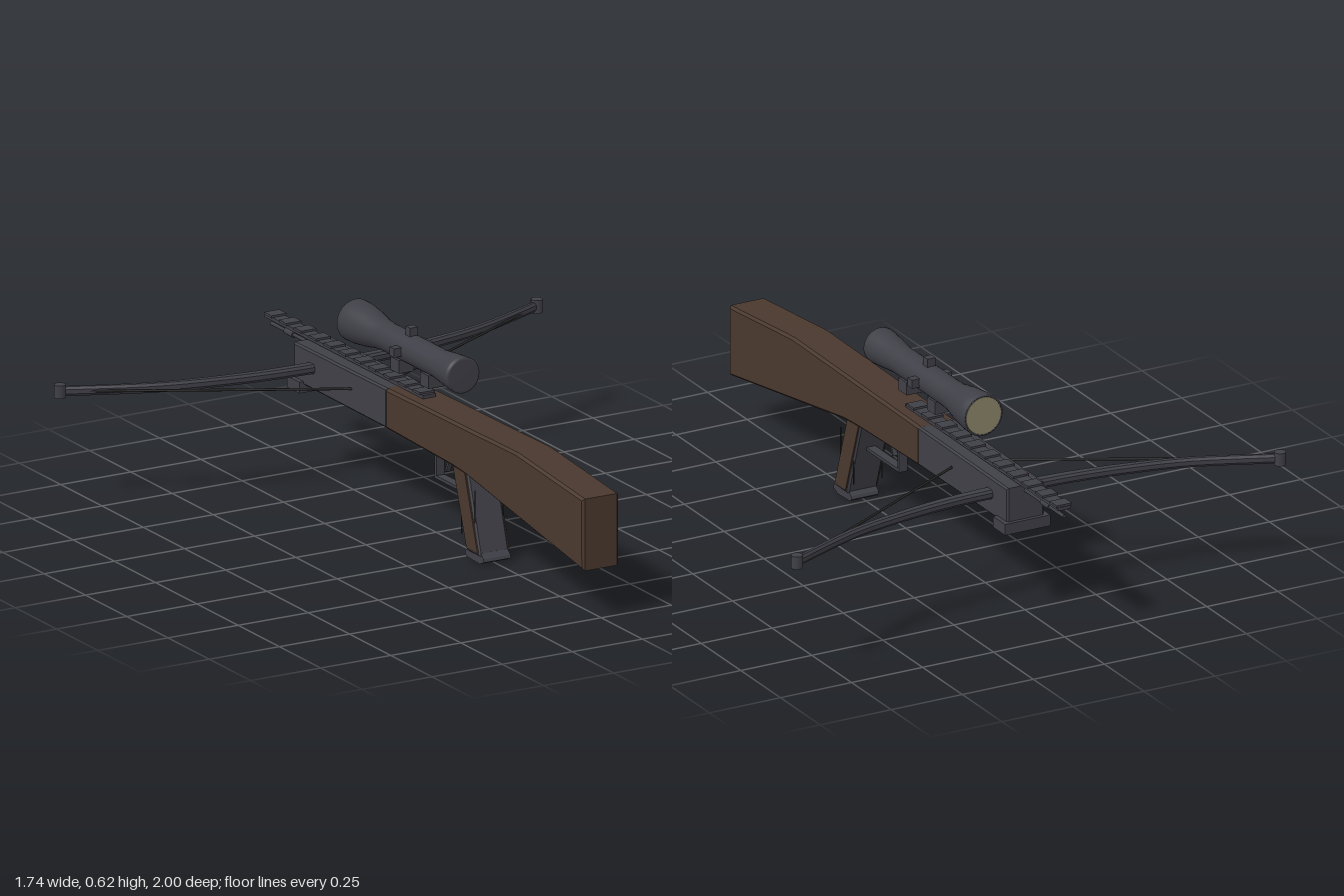
import * as THREE from 'three';

const mat = (name, color) => {
  const m = new THREE.MeshStandardMaterial({ color });
  m.name = name;
  return m;
};

export function createModel() {
  const wood = mat('walnut', 0x49382e);
  const metal = mat('gunmetal', 0x3f3f47);
  const dark = mat('dark cord', 0x262626);
  const glass = mat('lens glass', 0x8c866a);
  const root = new THREE.Group();
  root.name = 'crossbow';

  const add = (name, geo, material, x = 0, y = 0, z = 0) => {
    const m = new THREE.Mesh(geo, material);
    m.name = name;
    m.position.set(x, y, z);
    root.add(m);
    return m;
  };
  const box = (name, w, h, d, material, x, y, z) =>
    add(name, new THREE.BoxGeometry(w, h, d), material, x, y, z);

  // Side profile of [z, y] points, extruded across the width and centred on x
  const sideExtrude = (pts, width, bevel = 0) => {
    const shape = new THREE.Shape(pts.map(p => new THREE.Vector2(p[0], p[1])));
    const g = new THREE.ExtrudeGeometry(shape, {
      depth: width - 2 * bevel, bevelEnabled: bevel > 0, bevelSize: bevel,
      bevelThickness: bevel, bevelOffset: -bevel, bevelSegments: 1,
    });
    g.translate(0, 0, bevel - width / 2);
    return g.rotateY(-Math.PI / 2);
  };
  // Thin rod between two points
  const rod = (name, a, b, r, material) => {
    const from = new THREE.Vector3(...a), to = new THREE.Vector3(...b);
    const m = add(name, new THREE.CylinderGeometry(r, r, from.distanceTo(to), 8), material);
    m.position.copy(from).add(to).multiplyScalar(0.5);
    m.quaternion.setFromUnitVectors(new THREE.Vector3(0, 1, 0), to.sub(from).normalize());
  };

  // Stock and fore-end
  add('stock', sideExtrude([[1, 0.16], [1, 0.392], [0.6, 0.43], [-0.2, 0.421],
    [-0.2, 0.29], [0.2, 0.28], [0.28, 0.274]], 0.13, 0.008), wood);
  add('foreEnd', sideExtrude([[-0.19, 0.292], [-0.19, 0.421], [-0.755, 0.417],
    [-0.755, 0.294]], 0.13, 0.006), metal);
  box('frontBlock', 0.16, 0.036, 0.076, metal, 0, 0.288, -0.73);

  // Top rail with teeth
  box('rail', 0.046, 0.011, 0.96, metal, 0, 0.428, -0.52);
  for (let i = 0; i < 11; i++) {
    box('railTooth', 0.054, 0.008, 0.045, metal, 0, 0.436, -0.075 - i * 0.09);
  }

  // Bolt
  rod('boltShaft', [0, 0.4, -0.7], [0, 0.4, -0.998], 0.006, metal);
  rod('boltCollar', [0, 0.4, -0.86], [0, 0.4, -0.91], 0.01, metal);

  // Bow limbs: tapering strip along a curve, extruded upward
  const curve = new THREE.SplineCurve([[-0.85, 0.835], [-0.6, 0.728], [-0.4, 0.678], [-0.2, 0.65],
    [0, 0.644], [0.2, 0.65], [0.4, 0.678], [0.6, 0.728], [0.85, 0.835]]
    .map(p => new THREE.Vector2(...p)));
  const front = [], back = [];
  for (let i = 0; i <= 40; i++) {
    const p = curve.getPoint(i / 40), t = curve.getTangent(i / 40);
    const half = 0.02 - 0.01 * Math.abs(i / 20 - 1);
    front.push(new THREE.Vector2(p.x - t.y * half, p.y + t.x * half));
    back.unshift(new THREE.Vector2(p.x + t.y * half, p.y - t.x * half));
  }
  const limbs = new THREE.ExtrudeGeometry(new THREE.Shape([...back, ...front]), {
    depth: 0.014, bevelSize: 0.006, bevelThickness: 0.008, bevelOffset: -0.006, bevelSegments: 1,
  });
  add('bowLimbs', limbs.rotateX(-Math.PI / 2), metal, 0, 0.356, 0);

  // Limb tips and string
  for (const s of [-1, 1]) {
    add('limbTip', new THREE.CylinderGeometry(0.019, 0.019, 0.042, 14), metal, s * 0.85, 0.364, -0.835);
    rod('string', [s * 0.85, 0.362, -0.835], [0, 0.362, -0.369], 0.004, dark);
  }

  // Pistol grip: metal core, wooden side panels, flared foot
  const gripProfile = [[0.275, 0.29], [0.188, 0.29], [0.275, 0.025], [0.355, 0.025]];
  add('gripCore', sideExtrude(gripProfile, 0.106, 0.006), metal);
  for (const s of [-1, 1]) {
    const panel = sideExtrude([[0.268, 0.278], [0.198, 0.278], [0.28, 0.036], [0.347, 0.036]], 0.006);
    add('gripPanel', panel, wood, s * 0.054, 0, 0);
    box('gripPin', 0.003, 0.12, 0.003, dark, s * 0.05, 0.17, 0.32);
    box('gripPin', 0.003, 0.13, 0.003, dark, s * 0.05, 0.135, 0.24);
  }
  add('gripFoot', sideExtrude([[0.345, 0], [0.372, 0.012], [0.368, 0.022], [0.352, 0.036],
    [0.276, 0.036], [0.26, 0.022], [0.256, 0.012], [0.266, 0.004]], 0.096), metal);

  // Trigger and guard
  add('triggerGuard', sideExtrude([[0.24, 0.182], [0.016, 0.182], [0.016, 0.29],
    [0.026, 0.29], [0.026, 0.192], [0.24, 0.192]], 0.03), metal);
  add('trigger', sideExtrude([[0.096, 0.285], [0.086, 0.285], [0.08, 0.25], [0.065, 0.218],
    [0.072, 0.216], [0.09, 0.25]], 0.016), metal);

  // Scope: turned body along z, with the wide end at the back
  const scopeY = 0.551;
  const body = [[0, -0.165], [0.05, -0.165], [0.058, -0.163], [0.058, -0.15], [0.054, -0.1],
    [0.046, -0.03], [0.046, 0.29], [0.049, 0.33], [0.06, 0.39], [0.067, 0.45],
    [0.068, 0.487], [0.06, 0.487], [0.06, 0.476], [0, 0.476]].map(p => new THREE.Vector2(...p));
  const lathe = new THREE.LatheGeometry(body, 32).rotateX(-Math.PI / 2);
  add('scopeBody', lathe, metal, 0, scopeY, 0);
  const lens = new THREE.CylinderGeometry(0.061, 0.061, 0.006, 32).rotateX(Math.PI / 2);
  add('scopeLens', lens, glass, 0, scopeY, -0.486);
  box('topTurret', 0.028, 0.04, 0.028, metal, 0, 0.603, -0.148);
  for (const s of [-1, 1]) box('sideTurret', 0.04, 0.028, 0.028, metal, s * 0.05, scopeY, -0.15);
  for (const z of [-0.027, -0.206]) box('scopeMount', 0.054, 0.042, 0.052, metal, 0, 0.487, z);

  return root;
}
